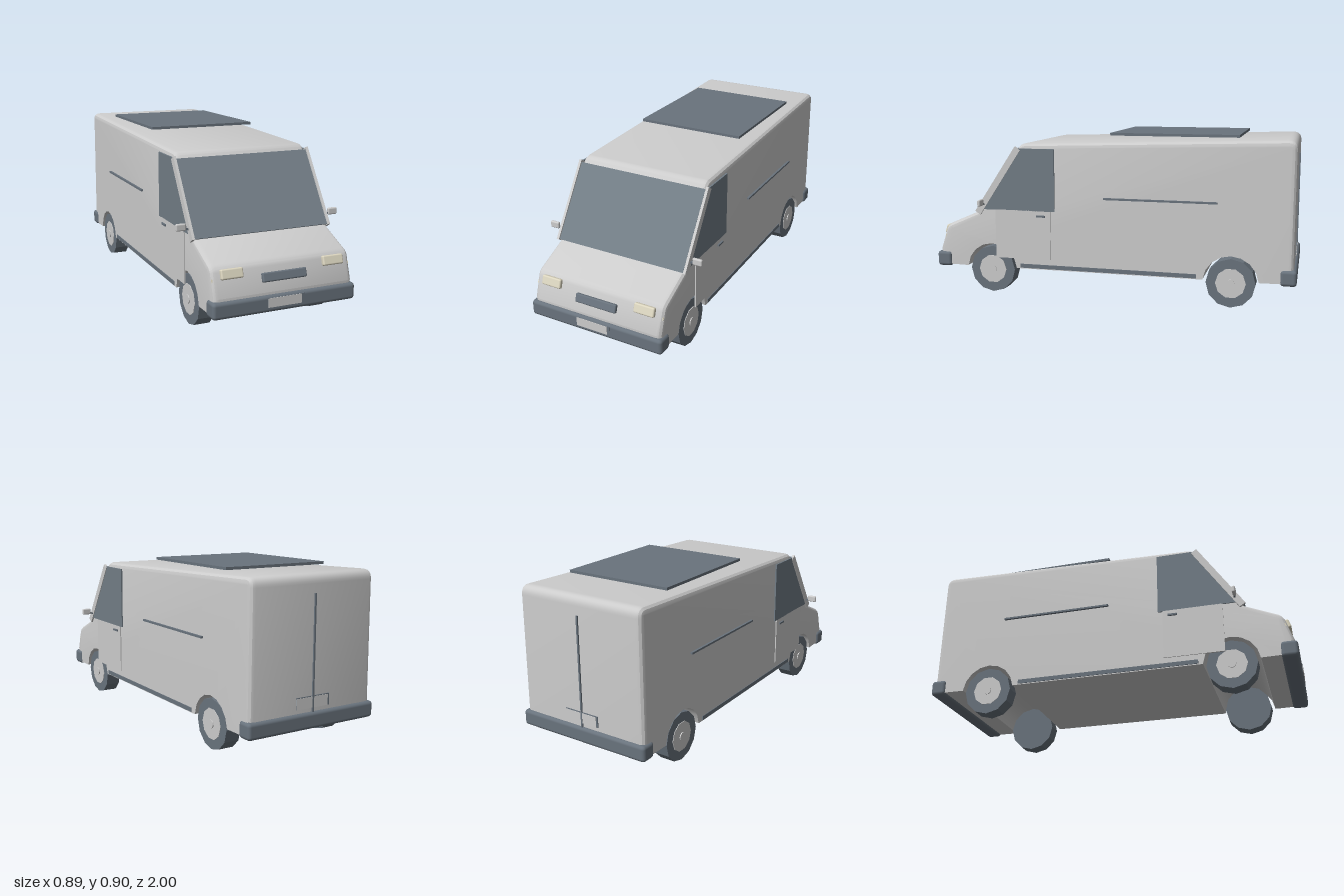
import * as THREE from 'three';
import { toCreasedNormals } from 'three/addons/utils/BufferGeometryUtils.js';
import { RoundedBoxGeometry } from 'three/addons/geometries/RoundedBoxGeometry.js';

const WHEEL_Z = [0.666, -0.66], AXLE_Y = 0.13, ARCH_R = 0.146, SILL_Y = 0.145, HALF_W = 0.372;

const mat = (name, color) => {
  const m = new THREE.MeshStandardMaterial({ color });
  m.name = name;
  return m;
};

// Extrude a (z, y) outline across x, centred on x = 0
function extrudeAcross(shape, width, bevel = 0) {
  const depth = width - 2 * bevel;
  const geo = new THREE.ExtrudeGeometry(shape, {
    depth, curveSegments: 8, bevelEnabled: bevel > 0, bevelThickness: bevel,
    bevelSize: bevel, bevelOffset: -bevel, bevelSegments: 3,
  });
  geo.translate(0, 0, -depth / 2);
  geo.rotateY(-Math.PI / 2);
  return geo;
}

function bodyGeometry() {
  const s = new THREE.Shape();
  s.moveTo(-0.98, SILL_Y);
  // underside with two wheel arches, rear first
  const dip = Math.asin((SILL_Y - AXLE_Y) / ARCH_R);
  for (const z of [WHEEL_Z[1], WHEEL_Z[0]]) {
    for (let i = 0; i <= 8; i++) {
      const a = Math.PI - dip - (i / 8) * (Math.PI - 2 * dip);
      s.lineTo(z + ARCH_R * Math.cos(a), AXLE_Y + ARCH_R * Math.sin(a));
    }
  }
  s.lineTo(0.97, SILL_Y);
  s.lineTo(0.982, 0.23);
  s.lineTo(0.944, 0.345);
  s.quadraticCurveTo(0.936, 0.368, 0.91, 0.38);
  s.lineTo(0.745, 0.452);
  s.lineTo(0.505, 0.812);
  s.quadraticCurveTo(0.49, 0.834, 0.46, 0.835);
  s.lineTo(-0.93, 0.878);
  s.quadraticCurveTo(-0.98, 0.88, -0.98, 0.83);
  s.closePath();
  const geo = extrudeAcross(s, HALF_W * 2, 0.028);
  // keep arches and sills square-edged, and lean the sides in towards the roof
  const p = geo.attributes.position;
  for (let i = 0; i < p.count; i++) {
    let y = p.getY(i), z = p.getZ(i);
    if (y < 0.2) y = Math.abs(y - SILL_Y) < 0.03 ? SILL_Y : y;
    for (const wz of WHEEL_Z) {
      const r = Math.hypot(z - wz, y - AXLE_Y);
      if (r > 0.13 && r < 0.182 && y < 0.32) {
        z = wz + (z - wz) * ARCH_R / r;
        y = AXLE_Y + (y - AXLE_Y) * ARCH_R / r;
      }
    }
    const lean = 1 - 0.017 * Math.max(0, (y - 0.45) / 0.4);
    p.setXYZ(i, p.getX(i) * lean, y, z);
  }
  return toCreasedNormals(geo, 0.5);
}

export function createModel() {
  const van = new THREE.Group();
  van.name = 'deliveryVan';
  const paint = mat('bodyPaint', 0xcccccc);
  const glass = mat('glass', 0x727d86);
  const trim = mat('darkTrim', 0x69737d);
  const lamp = mat('lampLens', 0xdcd6c0);

  const add = (name, geo, material, x = 0, y = 0, z = 0, rx = 0) => {
    const m = new THREE.Mesh(geo, material);
    m.name = name;
    m.position.set(x, y, z);
    m.rotation.x = rx;
    van.add(m);
    return m;
  };
  const box = (w, h, d) => new THREE.BoxGeometry(w, h, d);
  const round = (w, h, d, r) => new RoundedBoxGeometry(w, h, d, 2, r);

  add('body', bodyGeometry(), paint);

  // windscreen lies on the sloped front
  const screenTilt = Math.atan2(-0.24, 0.36);
  add('windscreen', box(0.73, 0.42, 0.008), glass, 0, 0.63, 0.632, screenTilt);

  // roof panel, standing just clear of the roof
  add('roofPanel', box(0.605, 0.014, 0.685), trim, 0, 0.889, -0.342);

  // bumpers and number plates
  add('frontBumper', round(0.764, 0.084, 0.086, 0.018), trim, 0, 0.175, 0.954);
  add('rearBumper', round(0.764, 0.084, 0.084, 0.018), trim, 0, 0.175, -0.954);
  add('frontPlateBacking', box(0.195, 0.048, 0.004), trim, -0.002, 0.183, 0.997);
  add('frontPlate', box(0.178, 0.046, 0.006), paint, -0.01, 0.183, 0.998);
  add('rearPlateBacking', box(0.2, 0.058, 0.006), trim, 0, 0.266, -0.981);
  add('rearPlate', box(0.19, 0.054, 0.008), paint, 0.005, 0.264, -0.982);
  add('rearDoorSeam', box(0.009, 0.58, 0.008), trim, 0, 0.495, -0.983);

  // nose details
  const noseTilt = Math.atan2(-0.038, 0.115);
  add('grille', round(0.235, 0.045, 0.024, 0.007), trim, 0, 0.298, 0.964, noseTilt);

  // side window and tyre outlines
  const win = new THREE.Shape([[0.715, 0.468], [0.295, 0.468], [0.295, 0.808], [0.495, 0.808]]
    .map(([z, y]) => new THREE.Vector2(z, y)).reverse());
  const windowGeo = extrudeAcross(win, 0.009);
  const disc = (r, w, n) =>
    toCreasedNormals(new THREE.CylinderGeometry(r, r, w, n).rotateZ(Math.PI / 2), 0.3);
  const tyreGeo = disc(0.13, 0.082, 12);
  const hubGeo = disc(0.08, 0.008, 10);
  const capGeo = disc(0.022, 0.012, 10);

  for (const [side, s] of [['left', 1], ['right', -1]]) {
    add(side + 'Headlight', round(0.113, 0.049, 0.026, 0.008), lamp, s * 0.27, 0.336, 0.953, noseTilt);
    add(side + 'Indicator', box(0.026, 0.018, 0.02), lamp, s * 0.354, 0.307, 0.937, noseTilt);
    add(side + 'Window', windowGeo, glass, s * 0.3725);
    add(side + 'Pillar', box(0.014, 0.435, 0.036), paint, s * 0.374, 0.628, 0.621, screenTilt);
    add(side + 'Door', box(0.009, 0.27, 0.318), paint, s * 0.3725, 0.335, 0.479);
    add(side + 'DoorHandle', box(0.009, 0.01, 0.05), trim, s * 0.381, 0.441, 0.373);
    add(side + 'Moulding', box(0.014, 0.01, 0.605), trim, s * 0.374, 0.55, -0.283);
    add(side + 'Sill', box(0.014, 0.022, 0.98), trim, s * 0.369, 0.159, 0.008);
    // door mirror on a short stalk
    add(side + 'Mirror', round(0.052, 0.036, 0.018, 0.007), paint, s * 0.421, 0.51, 0.706);
    const stalk = add(side + 'MirrorStalk', box(0.04, 0.009, 0.009), trim, s * 0.386, 0.498, 0.704);
    stalk.rotation.z = s * 0.3;
    // wheels
    WHEEL_Z.forEach((z, i) => {
      const name = side + (i ? 'Rear' : 'Front');
      add(name + 'Tyre', tyreGeo, trim, s * 0.323, AXLE_Y, z);
      add(name + 'Hub', hubGeo, paint, s * 0.363, AXLE_Y, z);
      add(name + 'HubCap', capGeo, paint, s * 0.366, AXLE_Y, z);
    });
  }
  return van;
}
